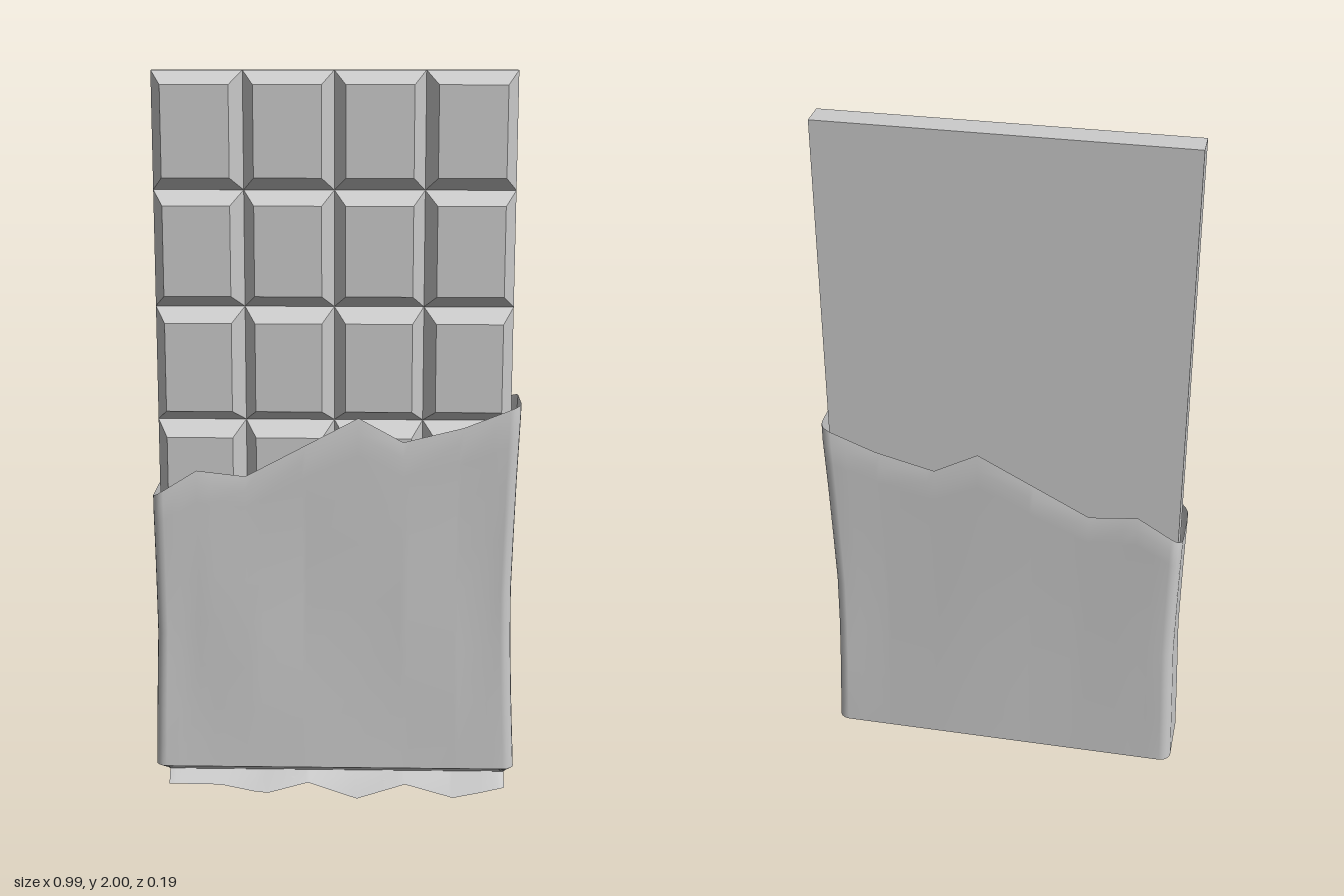
import * as THREE from 'three';
import { mergeGeometries, toCreasedNormals } from 'three/addons/utils/BufferGeometryUtils.js';

// Piecewise-linear lookup through [position, value] pairs
function lerpTable(table, p) {
  if (p <= table[0][0]) return table[0][1];
  for (let i = 1; i < table.length; i++) {
    const [p0, v0] = table[i - 1], [p1, v1] = table[i];
    if (p <= p1) return v0 + (v1 - v0) * (p - p0) / (p1 - p0);
  }
  return table[table.length - 1][1];
}

// Torn upper edge and crimped lower edge: height along x
const TORN = [[-0.49, 0.885], [-0.37, 0.96], [-0.24, 0.945], [-0.09, 1.025], [0.06, 1.105],
  [0.18, 1.04], [0.34, 1.08], [0.49, 1.14]];
const CRIMP = [[-0.47, 0.037], [-0.33, 0.037], [-0.2, 0.012], [-0.08, 0.044], [0.06, 0],
  [0.2, 0.044], [0.33, 0.004], [0.47, 0.035]];
// Outline of the two sides: half width along y
const LEFT_SIDE = [[0.12, 0.49], [0.4, 0.477], [0.6, 0.472], [0.9, 0.48], [1.14, 0.49]];
const RIGHT_SIDE = [[0.12, 0.498], [0.3, 0.493], [0.5, 0.486], [0.7, 0.488], [0.9, 0.492]];
const HX = 0.49, HZ = 0.097, R = 0.03, BASE = 0.12;

// Rounded rectangle seen from above, starting at the front, counter-clockwise
function perimeter() {
  const xs = new Set([-0.42, 0.42]);
  for (const t of [TORN, CRIMP]) for (const [x] of t) if (Math.abs(x) < 0.45) xs.add(x);
  const front = [...xs].sort((a, b) => a - b);
  const pts = front.map(x => [x, HZ]);
  const corner = (sx, sz, start) => {
    for (let i = 0; i <= 4; i++) {
      const a = start - i * Math.PI / 8;
      pts.push([sx * (HX - R) + R * Math.cos(a), sz * (HZ - R) + R * Math.sin(a)]);
    }
  };
  corner(1, 1, Math.PI / 2);
  corner(1, -1, 0);
  front.reverse().forEach(x => pts.push([x, -HZ]));
  corner(-1, -1, -Math.PI / 2);
  corner(-1, 1, -Math.PI);
  return pts;
}

// Closed tube through rings of points, listed from low to high
function loft(rings) {
  const n = rings[0].length, index = [];
  for (let j = 0; j < rings.length - 1; j++) {
    for (let i = 0; i < n; i++) {
      const k = (i + 1) % n, a = j * n + i, b = j * n + k;
      index.push(a, b, b + n, a, b + n, a + n);
    }
  }
  const g = new THREE.BufferGeometry();
  g.setAttribute('position', new THREE.Float32BufferAttribute(rings.flat(2), 3));
  g.setIndex(index);
  g.computeVertexNormals();
  return g;
}

// Place a perimeter point at a height, following the bowed sides
const widen = (x, y) => x * lerpTable(x > 0 ? LEFT_SIDE : RIGHT_SIDE, y) / HX;

// Chocolate square: a box whose front face is drawn in
function square(w, h, d, inset) {
  const g = new THREE.BoxGeometry(w, h, d).toNonIndexed();
  const p = g.attributes.position;
  for (let i = 0; i < p.count; i++) {
    if (p.getZ(i) > 0) {
      p.setX(i, p.getX(i) - Math.sign(p.getX(i)) * inset);
      p.setY(i, p.getY(i) - Math.sign(p.getY(i)) * inset * 1.15);
    }
  }
  g.computeVertexNormals();
  return g;
}

export function createModel() {
  const group = new THREE.Group();
  const grey = new THREE.MeshStandardMaterial({ color: 0xcccccc });
  const foil = new THREE.MeshStandardMaterial({ color: 0xcccccc, side: THREE.DoubleSide });
  const add = (name, geometry, material) => {
    const m = new THREE.Mesh(geometry, material);
    m.name = name;
    group.add(m);
  };

  // Bar: back slab with a 4 x 6 grid of bevelled squares
  const cols = 4, rows = 6, w = 0.237, h = 0.306, midX = -0.006;
  const slab = new THREE.BoxGeometry(cols * w, rows * h, 0.072);
  slab.translate(midX, 2 - rows * h / 2, -0.036);
  add('chocolateSlab', slab, grey);
  const squares = [];
  for (let r = 0; r < rows; r++) {
    for (let c = 0; c < cols; c++) {
      squares.push(square(w, h, 0.074, 0.031)
        .translate(midX + (c - 1.5) * w, 2 - (r + 0.5) * h, 0.037));
    }
  }
  add('chocolateSquares', mergeGeometries(squares), grey);

  // Wrapper sleeve: slightly crumpled, with a torn rim that leans in
  const outline = perimeter();
  const levels = [0, 0.08, 0.2, 0.35, 0.5, 0.65, 0.8, 0.9, 0.955, 1];
  const sleeve = levels.map(t => outline.map(([x, z]) => {
    const y = BASE + (lerpTable(TORN, x) - BASE) * t;
    const flat = Math.abs(x) < 0.45 ? 1 : 0;
    const dent = flat * 0.004 * Math.sin(Math.PI * t) * (1 + Math.sin(x * 13 + t * 4 + (z > 0 ? 0 : 2)));
    const lean = t === 1 ? 0.006 : 0;
    return [widen(x, y), y, z - Math.sign(z) * (dent + lean)];
  }));
  add('wrapperSleeve', loft(sleeve), foil);

  // Wrapper end: folds in underneath, then a bent crimped fin
  const ring = f => outline.map(([x, z]) => f(x * 0.47 / HX, z / HZ));
  const end = [
    ring((x, s) => [x, lerpTable(CRIMP, x), 0.028 + 0.003 * s + (0.035 - lerpTable(CRIMP, x)) * 0.2]),
    ring((x, s) => [x, 0.072, 0.003 * s]),
    outline.map(([x, z]) => [widen(x, BASE), BASE, z]),
  ];
  add('wrapperCrimpedEnd', toCreasedNormals(loft(end), 0.5), foil);

  return group;
}
